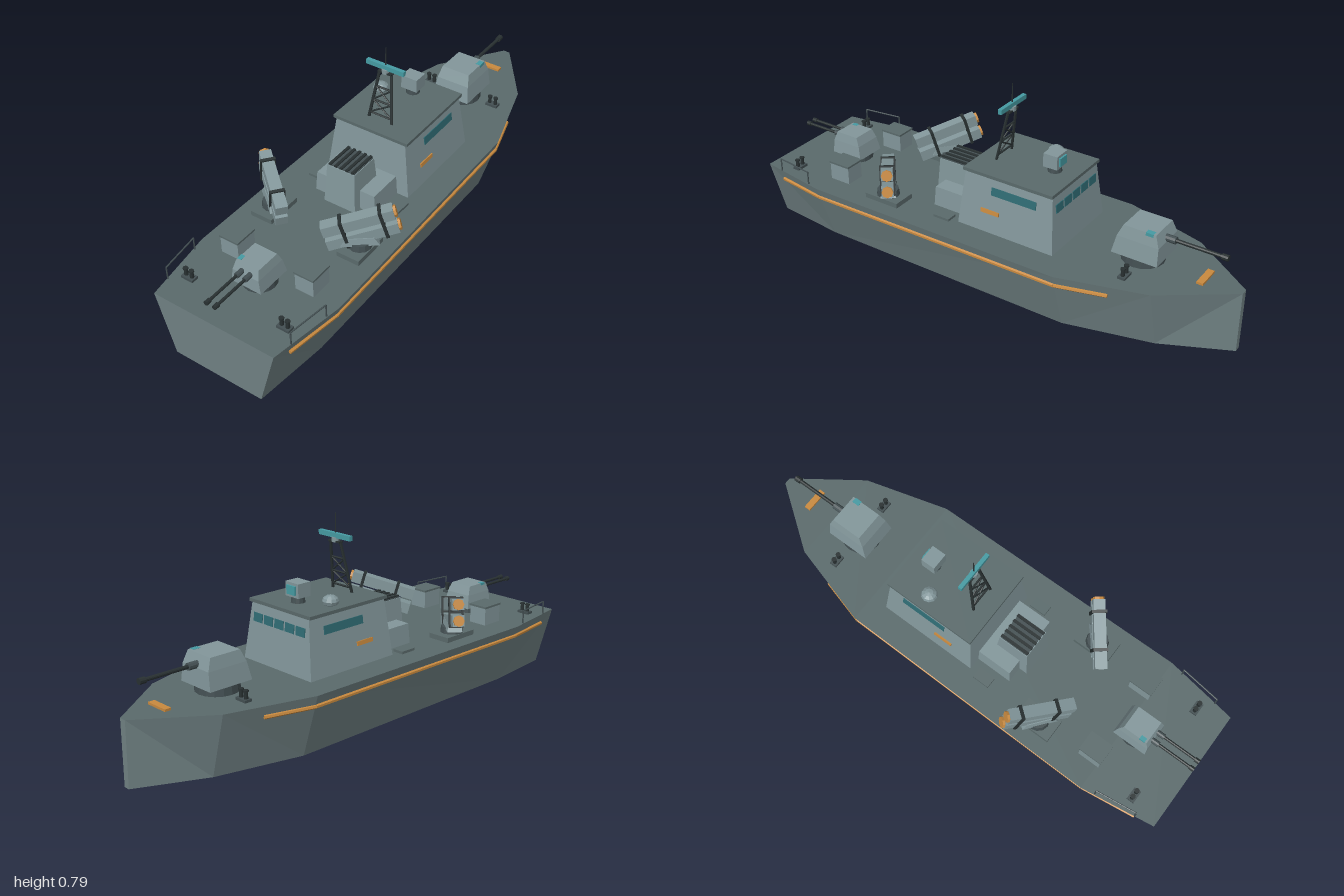
import * as THREE from 'three';

const mat = (name, color) => {
  const m = new THREE.MeshStandardMaterial({ color, flatShading: true });
  m.name = name;
  return m;
};

export function createModel() {
  const hullGrey = mat('hull grey', 0x6f8082), deckGrey = mat('deck grey', 0x5a6a6b);
  const lightGrey = mat('superstructure grey', 0x82969a), darkGrey = mat('dark grey', 0x434f52);
  const black = mat('gunmetal', 0x283031), teal = mat('teal', 0x459aa2);
  const glass = mat('window teal', 0x2f6b73), orange = mat('orange', 0xc8893e);

  const model = new THREE.Group();
  model.name = 'patrolBoat';
  const add = (parent, name, geo, material, x = 0, y = 0, z = 0) => {
    const m = new THREE.Mesh(geo, material);
    m.name = name;
    m.position.set(x, y, z);
    parent.add(m);
    return m;
  };
  const group = (name, x, y, z) => {
    const g = new THREE.Group();
    g.name = name;
    g.position.set(x, y, z);
    model.add(g);
    return g;
  };
  const box = (w, h, d) => new THREE.BoxGeometry(w, h, d);
  const cyl = (r1, r2, h, n = 12) => new THREE.CylinderGeometry(r1, r2, h, n);
  // Tapered block standing on y = 0, top rectangle given by width and z range
  const taper = (w, z0, z1, h, tw, t0, t1) => {
    const g = box(1, 1, 1), p = g.attributes.position;
    for (let i = 0; i < p.count; i++) {
      const top = p.getY(i) > 0, back = p.getZ(i) < 0;
      p.setXYZ(i, p.getX(i) * (top ? tw : w), top ? h : 0, top ? (back ? t0 : t1) : (back ? z0 : z1));
    }
    g.computeVertexNormals();
    return g;
  };
  // Straight bar between two points
  const bar = (parent, name, a, b, r, material, n = 6) => {
    const A = new THREE.Vector3(...a), B = new THREE.Vector3(...b), d = B.clone().sub(A);
    const m = add(parent, name, cyl(r, r, d.length(), n), material);
    m.position.copy(A).add(B).multiplyScalar(0.5);
    m.quaternion.setFromUnitVectors(new THREE.Vector3(0, 1, 0), d.normalize());
    return m;
  };

  // Hull: cross-sections from stern to bow as [z, deck half width, bottom half width]
  const H = 0.25;
  const sections = [[1, 0.26, 0.19], [0.7, 0.306, 0.22], [-0.4, 0.296, 0.22], [-0.74, 0.2, 0.135], [-1, 0.014, 0.012]];
  const shell = [], deck = [];
  const tri = (out, ...pts) => pts.forEach((p) => out.push(...p));
  const quad = (out, a, b, c, d) => { tri(out, a, b, c); tri(out, a, c, d); };
  const T = (s, k) => [k * s[1], H, s[0]], B = (s, k) => [k * s[2], 0, s[0]];
  for (let i = 0; i < sections.length - 1; i++) {
    const a = sections[i], f = sections[i + 1];
    for (const k of [1, -1]) {
      const ring = [B(a, k), B(f, k), T(f, k), T(a, k)];
      if (i === 0) ring.push(ring.shift());
      if (k < 0) [ring[1], ring[3]] = [ring[3], ring[1]];
      quad(shell, ...ring);
    }
    quad(deck, T(a, -1), T(a, 1), T(f, 1), T(f, -1));
    quad(shell, B(a, 1), B(a, -1), B(f, -1), B(f, 1));
  }
  const stern = sections[0], bow = sections[4];
  quad(shell, B(stern, -1), B(stern, 1), T(stern, 1), T(stern, -1));
  quad(shell, B(bow, 1), B(bow, -1), T(bow, -1), T(bow, 1));
  const fromTriangles = (pos) => {
    const g = new THREE.BufferGeometry();
    g.setAttribute('position', new THREE.Float32BufferAttribute(pos, 3));
    g.computeVertexNormals();
    return g;
  };
  add(model, 'hull', fromTriangles(shell), hullGrey);
  add(model, 'deck', fromTriangles(deck), deckGrey);

  // Superstructure with roof, windows and side markers
  const house = group('superstructure', 0, H, 0);
  add(house, 'cabin', taper(0.37, -0.33, 0.09, 0.225, 0.31, -0.31, 0.07), lightGrey);
  add(house, 'roof', box(0.333, 0.013, 0.39), deckGrey, 0, 0.23, -0.12);
  const lean = Math.atan(0.03 / 0.225), leanFront = Math.atan(0.02 / 0.225);
  for (const s of [1, -1]) {
    add(house, 'sideWindow', box(0.006, 0.032, 0.195), glass, s * 0.1625, 0.17, -0.148).rotation.z = s * lean;
    add(house, 'sideMarker', box(0.009, 0.016, 0.08), orange, s * 0.174, 0.085, -0.05).rotation.z = s * lean;
  }
  for (let i = -2; i <= 2; i++)
    add(house, 'frontWindow', box(0.048, 0.034, 0.006), glass, i * 0.058, 0.17, -0.315).rotation.x = leanFront;

  // Radome and fire director on the roof
  add(model, 'radomeBase', cyl(0.02, 0.024, 0.02), lightGrey, -0.108, 0.49, -0.16);
  add(model, 'radome', new THREE.SphereGeometry(0.032, 10, 6), lightGrey, -0.108, 0.501, -0.16).scale.y = 0.72;
  add(model, 'directorPedestal', cyl(0.024, 0.028, 0.03), darkGrey, 0, 0.499, -0.222);
  add(model, 'directorHead', box(0.07, 0.055, 0.06), lightGrey, 0, 0.538, -0.222);
  add(model, 'directorScreen', box(0.045, 0.034, 0.008), teal, 0, 0.538, -0.255);

  // Raked lattice mast
  const mast = group('mast', 0, 0, 0);
  const at = (y, k) => {
    const t = (y - 0.48) / 0.205;
    return [k * (0.052 - 0.026 * t), y, 0.005 - 0.037 * t];
  };
  for (const k of [1, -1]) {
    bar(mast, 'mastLeg', at(0.48, k), at(0.685, k), 0.006, black);
    for (const [lo, hi] of [[0.505, 0.56], [0.56, 0.617]])
      bar(mast, 'mastBrace', at(lo, k), at(hi, -k), 0.0035, black);
  }
  for (const y of [0.505, 0.56, 0.617]) bar(mast, 'mastCrossbar', at(y, -1), at(y, 1), 0.004, black);
  add(mast, 'mastPlatform', box(0.06, 0.006, 0.02), black, 0, 0.683, -0.032);
  add(mast, 'radarPivot', cyl(0.015, 0.015, 0.018), lightGrey, 0, 0.69, -0.032);
  add(mast, 'radarBar', box(0.165, 0.019, 0.016), teal, 0, 0.706, -0.032);
  add(mast, 'whipAntenna', cyl(0.0018, 0.0025, 0.076, 6), black, 0, 0.752, -0.032);

  // Aft deckhouse and funnel
  add(model, 'aftDeckhouse', taper(0.27, 0.09, 0.24, 0.08, 0.26, 0.09, 0.235), lightGrey, 0, H, 0);
  add(model, 'funnel', taper(0.14, 0.12, 0.275, 0.165, 0.122, 0.135, 0.262), lightGrey, 0, H, 0);
  add(model, 'funnelGrille', box(0.116, 0.004, 0.12), darkGrey, 0, 0.417, 0.198);
  for (let i = -2; i <= 2; i++) add(model, 'grilleBar', box(0.011, 0.007, 0.125), black, i * 0.025, 0.42, 0.198);

  // Gun turret facing local +z
  const turret = (name, z, scale, barrels, reach, yaw) => {
    const g = group(name, 0, H, z);
    g.scale.setScalar(scale);
    g.rotation.y = yaw;
    add(g, 'turretRing', cyl(0.08, 0.083, 0.036, 16), darkGrey, 0, 0.018, 0);
    add(g, 'turretBody', taper(0.165, -0.09, 0.095, 0.07, 0.145, -0.075, 0.092), lightGrey, 0, 0.033, 0);
    add(g, 'turretTop', taper(0.145, -0.075, 0.092, 0.046, 0.125, -0.055, 0.075), lightGrey, 0, 0.103, 0);
    add(g, 'turretSight', box(0.022, 0.02, 0.03), teal, -0.054, 0.14, 0.05);
    for (const x of barrels) {
      bar(g, 'barrelSleeve', [x, 0.113, 0.07], [x, 0.113, 0.125], 0.014, darkGrey, 10);
      bar(g, 'barrel', [x, 0.113, 0.1], [x, 0.113, reach], 0.0075, black, 10);
      bar(g, 'muzzle', [x, 0.113, reach - 0.025], [x, 0.113, reach], 0.012, black, 10);
    }
  };
  turret('bowGun', -0.605, 1, [0], 0.325, Math.PI);
  turret('sternGun', 0.745, 0.78, [-0.023, 0.023], 0.325, 0);

  for (const s of [1, -1]) {
    // Missile launcher with two stacked tubes aimed forward and outboard
    const base = group('launcherBase', s * 0.195, H, 0.42);
    add(base, 'launcherPad', box(0.095, 0.02, 0.155), deckGrey, 0, 0.01, 0);
    add(base, 'launcherTurntable', cyl(0.042, 0.046, 0.025), darkGrey, 0, 0.032, 0);
    add(base, 'launcherCradle', taper(0.06, -0.07, 0.07, 0.03, 0.05, -0.05, 0.05), lightGrey, 0, 0.038, 0)
      .rotation.y = -s * 0.9;
    const rack = group('launcherRack', s * 0.195, 0.352, 0.418);
    rack.rotation.set(0.27, -s * 0.9, 0, 'YXZ');
    for (const y of [-0.032, 0.032]) {
      add(rack, 'launchTube', box(0.046, 0.044, 0.265), lightGrey, 0, y, 0);
      add(rack, 'tubeCap', cyl(0.022, 0.022, 0.012, 8), orange, 0, y, -0.136).rotation.x = Math.PI / 2;
    }
    for (const z of [-0.085, 0.06]) {
      for (const x of [-0.026, 0.026]) add(rack, 'rackPost', box(0.006, 0.118, 0.012), black, x, 0, z);
      for (const y of [-0.057, 0, 0.057]) add(rack, 'rackStrap', box(0.056, 0.006, 0.012), black, 0, y, z);
    }

    // Deck lockers and side plates
    add(model, 'locker', box(0.078, 0.072, 0.092), lightGrey, s * 0.165, H + 0.036, 0.663);
    add(model, 'lockerLid', box(0.084, 0.008, 0.098), deckGrey, s * 0.165, H + 0.075, 0.663);
    add(model, 'deckStep', box(0.045, 0.01, 0.07), deckGrey, s * 0.185, H + 0.005, 0.155);

    // Paired bollards fore and aft
    for (const [x, z] of [[0.21, 0.875], [0.15, -0.61]]) {
      add(model, 'bollardPlate', box(0.052, 0.01, 0.03), darkGrey, s * x, H + 0.005, z);
      for (const dx of [-0.013, 0.013]) {
        add(model, 'bollardPost', cyl(0.007, 0.008, 0.036, 8), black, s * x + dx, H + 0.022, z);
        add(model, 'bollardHead', cyl(0.01, 0.01, 0.006, 8), black, s * x + dx, H + 0.039, z);
      }
    }

    // Stern hand rail
    const a = [s * 0.292, H, 0.755], b = [s * 0.27, H, 0.92];
    const up = (p) => [p[0], 0.303, p[2]];
    bar(model, 'railPost', a, up(a), 0.003, darkGrey);
    bar(model, 'railPost', b, up(b), 0.003, darkGrey);
    bar(model, 'railTop', up(a), up(b), 0.003, darkGrey);

    // Orange rubbing strake along the hull side
    const line = [[0.262, 0.92], [0.293, 0.7], [0.285, -0.4], [0.233, -0.59]];
    for (let i = 0; i < 3; i++)
      bar(model, 'strake', [s * line[i][0], 0.207, line[i][1]], [s * line[i + 1][0], 0.207, line[i + 1][1]], 0.008, orange);
  }

  // Bow deck marker
  add(model, 'bowMarker', box(0.096, 0.009, 0.026), orange, 0, H + 0.0045, -0.852);
  return model;
}
